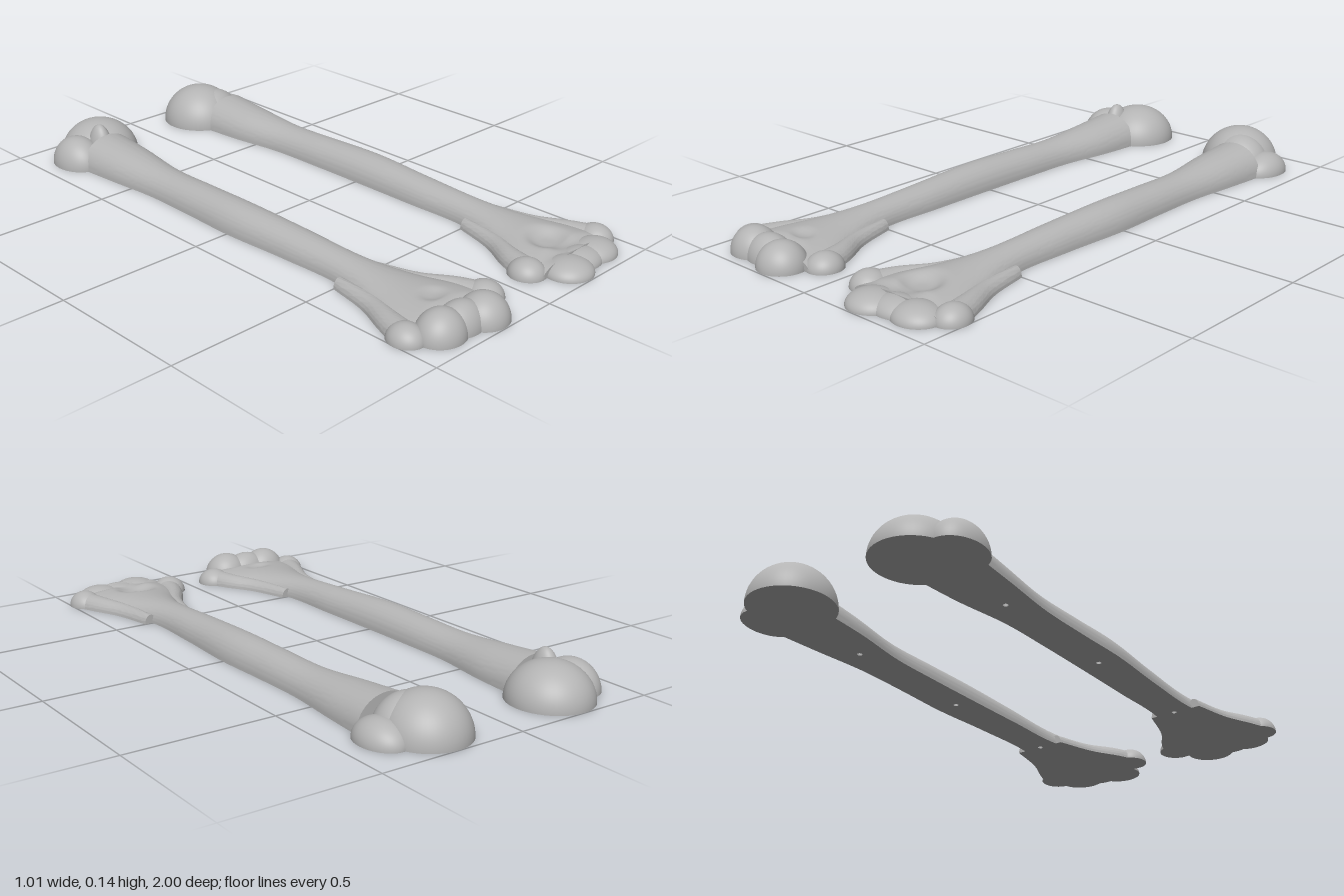
import * as THREE from 'three';
import { mergeGeometries, toCreasedNormals } from 'three/addons/utils/BufferGeometryUtils.js';

const bone = new THREE.MeshStandardMaterial({ color: 0xb4b4b4 });
bone.name = 'bone grey';

const plain = (g) => {
  const p = g.index ? g.toNonIndexed() : g;
  p.deleteAttribute('uv');
  return p;
};

// Half ellipsoid resting on y = 0, closed underneath
function dome(name, x, z, rx, ry, rz) {
  const top = new THREE.SphereGeometry(1, 48, 18, 0, Math.PI * 2, 0, Math.PI / 2).scale(rx, ry, rz);
  const base = new THREE.CircleGeometry(1, 48).rotateX(Math.PI / 2).scale(rx, 1, rz);
  const mesh = new THREE.Mesh(mergeGeometries([plain(top), plain(base)]), bone);
  mesh.position.set(x, 0, z);
  mesh.name = name;
  return mesh;
}

// Half-round loft along z. Rows: [z, centre x, half width, height]; dents: [x, z, rx, rz, depth]
function loft(name, side, rows, { dents = [], holes = [], power = 1, steps = 40 } = {}) {
  const spline = new THREE.CubicInterpolant(
    rows.map((r) => r[0]), rows.flatMap((r) => r.slice(1)), 3, new Array(3));
  const z0 = rows[0][0], z1 = rows[rows.length - 1][0], around = 40, n = around + 1;
  const pos = [], index = [], left = [], right = [];
  for (let i = 0; i <= steps; i++) {
    const z = z0 + ((z1 - z0) * i) / steps;
    const [xc, hw, h] = spline.evaluate(z);
    left.push(new THREE.Vector2(xc * side + hw, z));
    right.unshift(new THREE.Vector2(xc * side - hw, z));
    for (let j = 0; j <= around; j++) {
      const t = (Math.PI * j) / around;
      const x = xc * side + hw * Math.cos(t);
      let y = h * Math.pow(Math.max(0, Math.sin(t)), power);
      for (const [dx, dz, rx, rz, depth] of dents) {
        const d = ((x - dx * side) / rx) ** 2 + ((z - dz) / rz) ** 2;
        y -= depth * Math.exp(-d * d);
      }
      pos.push(x, Math.max(0, y), z);
      if (i < steps && j < around) {
        const a = i * n + j, c = a + n;
        index.push(a, a + 1, c, a + 1, c + 1, c);
      }
    }
  }
  // End caps
  const last = steps * n, c0 = pos.length / 3;
  pos.push(rows[0][1] * side, 0, z0, rows[rows.length - 1][1] * side, 0, z1);
  for (let j = 0; j < around; j++) index.push(c0, j + 1, j, c0 + 1, last + j, last + j + 1);
  const g = new THREE.BufferGeometry();
  g.setAttribute('position', new THREE.Float32BufferAttribute(pos, 3));
  g.setIndex(index);
  const skin = toCreasedNormals(g, 0.9);

  // Flat underside with pin holes
  const outline = new THREE.Shape([...left, ...right]);
  for (const [hx, hz] of holes) {
    outline.holes.push(new THREE.Path().absarc(hx * side, hz, 0.009, 0, Math.PI * 2, true));
  }
  const under = new THREE.ShapeGeometry(outline, 8).rotateX(Math.PI / 2);
  const mesh = new THREE.Mesh(mergeGeometries([skin, plain(under)]), bone);
  mesh.name = name;
  return mesh;
}

// Half of a long bone; side is +1 (left) or -1 (right)
function halfBone(side) {
  const isLeft = side > 0;
  const g = new THREE.Group();
  g.name = isLeft ? 'leftBoneHalf' : 'rightBoneHalf';
  const add = (...a) => g.add(dome(a[0], a[1] * side, ...a.slice(2)));

  // Shaft and flared lower end, with the hollow above the joint
  const hollow = isLeft
    ? [[0.27, 0.79, 0.06, 0.06, 0.026], [0.28, 0.87, 0.12, 0.03, 0.012]]
    : [[0.27, 0.785, 0.04, 0.03, 0.01], [0.28, 0.86, 0.1, 0.025, 0.012]];
  g.add(loft('shaft', side, [
    [-0.75, 0.287, 0.11, 0.106], [-0.6, 0.287, 0.098, 0.094], [-0.4, 0.292, 0.075, 0.08],
    [-0.2, 0.295, 0.073, 0.083], [0, 0.298, 0.075, 0.086], [0.25, 0.291, 0.069, 0.077],
    [0.5, 0.288, 0.07, 0.066], [0.65, 0.285, 0.11, 0.06], [0.78, 0.28, 0.165, 0.055],
    [0.9, 0.28, 0.18, 0.05],
  ], { dents: hollow, holes: [[0.29, -0.5], [0.295, 0], [0.288, 0.5]], power: 0.9, steps: 130 }));
  const socket = new THREE.CylinderGeometry(0.009, 0.009, 0.03, 12, 1, true);
  const inside = bone.clone();
  inside.side = THREE.DoubleSide;
  for (const [x, z] of [[0.29, -0.5], [0.295, 0], [0.288, 0.5]]) {
    const pin = new THREE.Mesh(socket, inside);
    pin.position.set(x * side, 0.015, z);
    pin.name = 'pinHole';
    g.add(pin);
  }

  // Ridges running down to the knobs on each side
  g.add(loft('outerRidge', side, [
    [0.5, 0.365, 0.022, 0.032], [0.65, 0.384, 0.036, 0.036],
    [0.75, 0.42, 0.043, 0.042], [0.85, 0.45, 0.05, 0.046],
  ]));
  g.add(loft('innerRidge', side, [
    [0.5, 0.218, 0.022, 0.032], [0.65, 0.184, 0.036, 0.036],
    [0.75, 0.135, 0.043, 0.042], [0.85, 0.105, 0.05, 0.046],
  ]));
  add('outerKnob', 0.45, 0.845, 0.055, 0.052, 0.062);
  add('innerKnob', 0.101, 0.84, 0.059, 0.052, 0.062);

  // Joint rollers
  const k = isLeft ? 0.56 : 1;
  add('outerRoller', 0.365, 0.897, 0.083, 0.085 * k, 0.075);
  add('middleRoller', 0.285, 0.9, 0.09, 0.08 * k, 0.067);
  add('innerRoller', 0.205, 0.918, 0.083, 0.083 * k, 0.08);

  // Ball head and the bumps beside it
  add('head', isLeft ? 0.237 : 0.245, -0.858, 0.137, isLeft ? 0.135 : 0.124, 0.142);
  if (isLeft) {
    add('headCollar', 0.265, -0.815, 0.115, 0.122, 0.1);
    add('largeBump', 0.365, -0.822, 0.075, 0.07, 0.1);
  } else {
    add('largeBump', 0.367, -0.822, 0.083, 0.098, 0.105);
    add('smallBump', 0.293, -0.785, 0.045, 0.136, 0.06);
  }
  return g;
}

export function createModel() {
  const model = new THREE.Group();
  model.name = 'splitBone';
  model.add(halfBone(1), halfBone(-1));
  return model;
}
